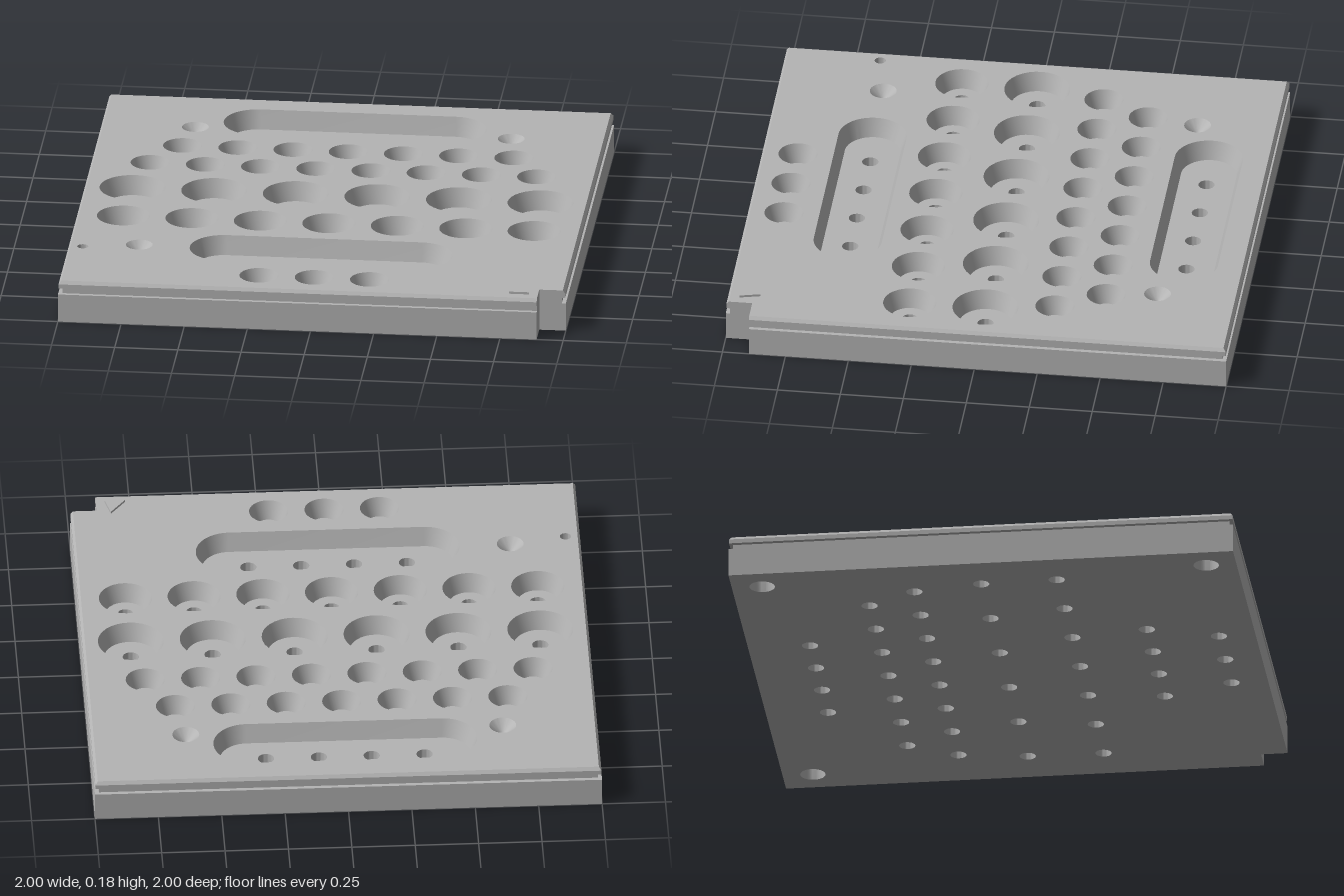
import * as THREE from 'three';
import { toCreasedNormals } from 'three/addons/utils/BufferGeometryUtils.js';

const TOP = 0.17, FLOOR = 0.095, DRAFT = 0.025, BORE = 0.032, SEG = 32;

// Outlines are lists of [x, z] points
const circle = (x, z, r) => Array.from({ length: SEG }, (_, i) => {
  const a = (i / SEG) * Math.PI * 2;
  return [x + r * Math.cos(a), z + r * Math.sin(a)];
});

const stadium = (z, half, r) => Array.from({ length: 2 * SEG + 2 }, (_, i) => {
  const right = i <= SEG;
  const a = -Math.PI / 2 + ((right ? i : i - 1) / SEG) * Math.PI;
  return [(right ? 1 : -1) * (half - r) + r * Math.cos(a), z + r * Math.sin(a)];
});

// Square with one notched corner; the notch stays put as the edge is inset
function plateOutline(inset) {
  const w = 1 - inset, n = 0.895;
  return [[-w, -w], [w, -w], [w, n], [n, n], [n, w], [-w, w]];
}

// Flat face with holes, facing up or down
function cap(outline, holes, y, up) {
  const s = up ? -1 : 1;
  const toPoints = (pts) => pts.map(([x, z]) => new THREE.Vector2(x, s * z));
  const shape = new THREE.Shape(toPoints(outline));
  holes.forEach((h) => shape.holes.push(new THREE.Path(toPoints(h))));
  return new THREE.ShapeGeometry(shape).rotateX((s * Math.PI) / 2).translate(0, y, 0);
}

// Wall through a stack of equal-length outlines
function loft(layers) {
  const pos = [];
  for (let k = 0; k + 1 < layers.length; k++) {
    const [lo, y0] = layers[k], [hi, y1] = layers[k + 1];
    lo.forEach((p, i) => {
      const j = (i + 1) % lo.length;
      const a = [p[0], y0, p[1]], b = [lo[j][0], y0, lo[j][1]];
      const c = [hi[i][0], y1, hi[i][1]], d = [hi[j][0], y1, hi[j][1]];
      pos.push(...a, ...c, ...b, ...b, ...c, ...d);
    });
  }
  const g = new THREE.BufferGeometry();
  g.setAttribute('position', new THREE.Float32BufferAttribute(pos, 3));
  return toCreasedNormals(g, 0.5);
}

// Round cavity from [radius, y] points
function cavity(profile) {
  const pts = profile.map(([r, y]) => new THREE.Vector2(r, y));
  return toCreasedNormals(new THREE.LatheGeometry(pts, SEG), 0.5);
}

export function createModel() {
  const grey = new THREE.MeshStandardMaterial({ color: 0xb4b4b4, side: THREE.DoubleSide });
  grey.name = 'greyPlastic';
  const model = new THREE.Group();
  model.name = 'toolTray';
  const add = (name, geometry, x = 0, z = 0) => {
    const mesh = new THREE.Mesh(geometry, grey);
    mesh.name = name;
    mesh.position.set(x, 0, z);
    model.add(mesh);
  };
  const topHoles = [], bottomHoles = [];

  // Rows of tapered wells, each with a through bore
  const rows = [
    { z: -0.48, count: 7, step: 0.2185, r: 0.077 },
    { z: -0.29, count: 8, step: 0.2185, r: 0.077 },
    { z: -0.02, count: 6, step: 0.323, r: 0.13 },
    { z: 0.28, count: 7, step: 0.271, r: 0.105 },
    { z: 0.855, count: 3, step: 0.2185, r: 0.077 },
  ];
  for (const { z, count, step, r } of rows) {
    const well = cavity([[r, TOP], [r - DRAFT, FLOOR], [BORE, FLOOR], [BORE, 0]]);
    for (let i = 0; i < count; i++) {
      const x = (i - (count - 1) / 2) * step;
      add('well', well, x, z);
      topHoles.push(circle(x, z, r));
      bottomHoles.push(circle(x, z, BORE));
    }
  }

  // Two long slots with four bores each
  const bore = cavity([[BORE, FLOOR], [BORE, 0]]);
  for (const z of [-0.755, 0.58]) {
    const rim = stadium(z, 0.52, 0.135);
    const base = stadium(z, 0.52 - DRAFT, 0.135 - DRAFT);
    const bores = [];
    for (let i = 0; i < 4; i++) {
      const x = (i - 1.5) * 0.2085;
      add('slotBore', bore, x, z);
      bores.push(circle(x, z, BORE));
    }
    add('slotWall', loft([[rim, TOP], [base, FLOOR]]));
    add('slotFloor', cap(base, bores, FLOOR, true));
    topHoles.push(rim);
    bottomHoles.push(...bores);
  }

  // Conical dimples and a small blind pin hole
  const dimple = cavity([[0.053, TOP], [0, TOP - 0.05]]);
  for (const [x, z] of [[-0.625, -0.68], [0.625, -0.68], [-0.72, 0.58]]) {
    add('dimple', dimple, x, z);
    topHoles.push(circle(x, z, 0.053));
  }
  add('pinHole', cavity([[0.022, TOP], [0.022, 0.12], [0, 0.12]]), -0.94, 0.62);
  topHoles.push(circle(-0.94, 0.62, 0.022));

  // Round recesses under the three full corners
  const recess = cavity([[0, 0.07], [0.05, 0.07], [0.05, 0]]);
  for (const [x, z] of [[-0.88, -0.88], [0.88, -0.88], [-0.88, 0.88]]) {
    add('cornerRecess', recess, x, z);
    bottomHoles.push(circle(x, z, 0.05));
  }

  // Plate: grooved sides with a bevelled lip, then top and underside
  const sides = [[0, 0], [0, 0.115], [0.016, 0.115], [0.016, 0.138], [0.002, 0.14], [0.002, 0.157], [0.012, TOP]];
  add('plateSides', loft(sides.map(([inset, y]) => [plateOutline(inset), y])));
  add('plateTop', cap(plateOutline(0.012), topHoles, TOP, true));
  add('plateUnderside', cap(plateOutline(0), bottomHoles, 0, false));

  // Small raised triangular corner marker
  const marker = new THREE.Shape([[0.78, -0.95], [0.86, -0.95], [0.84, -0.87]].map(([x, y]) => new THREE.Vector2(x, y)));
  const markerGeometry = new THREE.ExtrudeGeometry(marker, { depth: 0.009, bevelEnabled: false });
  add('cornerMarker', markerGeometry.rotateX(-Math.PI / 2).translate(0, TOP, 0));

  return model;
}
